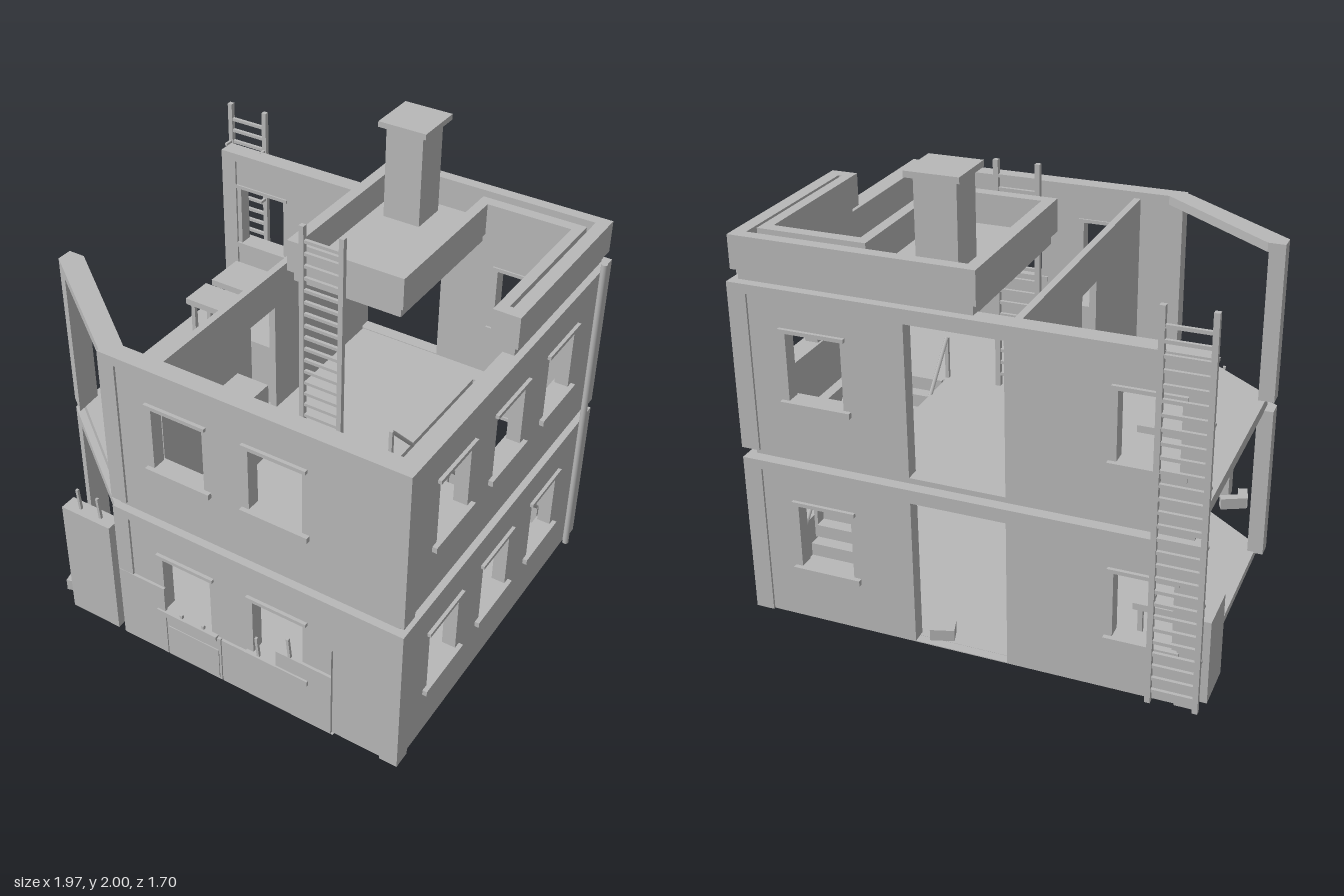
import * as THREE from 'three';

export function createModel() {
  const model = new THREE.Group();
  model.name = 'ruinedHouse';
  const concrete = new THREE.MeshStandardMaterial({ color: 0xb8b8b8 });
  concrete.name = 'concrete grey';

  const add = (name, geo, parent = model) => {
    const m = new THREE.Mesh(geo, concrete);
    m.name = name;
    parent.add(m);
    return m;
  };
  // Box given by its limits on each axis
  const box = (name, x0, x1, y0, y1, z0, z1, parent = model) => {
    const m = add(name, new THREE.BoxGeometry(x1 - x0, y1 - y0, z1 - z0), parent);
    m.position.set((x0 + x1) / 2, (y0 + y1) / 2, (z0 + z1) / 2);
    return m;
  };
  const rect = (x0, x1, y0, y1, Type = THREE.Path) => {
    const p = new Type();
    p.moveTo(x0, y0); p.lineTo(x1, y0); p.lineTo(x1, y1); p.lineTo(x0, y1); p.closePath();
    return p;
  };
  const extrude = (shape, depth) => new THREE.ExtrudeGeometry(shape, { depth, bevelEnabled: false });
  const poly = (pts) => new THREE.Shape(pts.map(([x, y]) => new THREE.Vector2(x, y)));
  // Plan outline (x, z) raised into a slab
  const slab = (name, pts, y0, y1, hole, parent = model) => {
    const s = poly(pts.map(([x, z]) => [x, -z]));
    if (hole) s.holes.push(rect(hole[0], hole[1], -hole[3], -hole[2]));
    const m = add(name, extrude(s, y1 - y0), parent);
    m.rotation.x = -Math.PI / 2;
    m.position.y = y0;
    return m;
  };

  const H = 0.715, SILL = 0.245, HEAD = 0.54;

  // Recessed wall with window and door holes, end posts, top beam, sills and lintels
  // It lies along local x, and local z = 0 is the outer face of the frame.
  function wall(name, u0, u1, windows, door) {
    const g = new THREE.Group();
    g.name = name;
    const s = rect(u0 + 0.02, u1 - 0.02, 0, H - 0.02, THREE.Shape);
    windows.forEach((c) => s.holes.push(rect(c - 0.118, c + 0.118, SILL, HEAD)));
    if (door) s.holes.push(rect(door[0], door[1], 0.004, H - 0.065));
    add('wallPanel', extrude(s, 0.06), g).position.z = -0.07;
    for (const [a, b] of [[u0, u0 + 0.075], [u1 - 0.075, u1]]) box('wallPost', a, b, 0, H - 0.04, -0.08, 0, g);
    box('wallBeam', u0, u1, H - 0.04, H, -0.08, 0, g);
    for (const c of windows) {
      box('windowSill', c - 0.15, c + 0.15, SILL - 0.025, SILL, -0.08, 0.01, g);
      box('windowLintel', c - 0.14, c + 0.14, HEAD - 0.003, HEAD + 0.013, -0.078, 0.005, g);
    }
    return g;
  }

  // Rails along y with evenly spaced rungs
  function ladder(name, x0, x1, y0, y1, z, step) {
    const g = new THREE.Group();
    g.name = name;
    for (const x of [x0, x1]) box('ladderRail', x - 0.011, x + 0.011, y0, y1, z - 0.011, z + 0.011, g);
    for (let y = y0 + step; y < y1 - 0.05; y += step) box('ladderRung', x0, x1, y - 0.007, y + 0.007, z - 0.007, z + 0.007, g);
    model.add(g);
    return g;
  }

  function table(x0, x1, y0, h, z0, z1) {
    const g = new THREE.Group();
    g.name = 'table';
    box('tableTop', x0, x1, y0 + h - 0.03, y0 + h, z0, z1, g);
    for (const x of [x0 + 0.02, x1 - 0.04]) for (const z of [z0 + 0.01, z1 - 0.03]) box('tableLeg', x, x + 0.02, y0, y0 + h - 0.03, z, z + 0.02, g);
    model.add(g);
  }

  // Floors, the upper one open above the stairs
  const outline = [[-0.905, -0.76], [0.92, -0.76], [0.92, 0.8], [-0.38, 0.8], [-0.905, 0.4]];
  slab('groundFloor', outline, 0, 0.035);
  slab('upperFloor', outline, 0.74, 0.79, [0.45, 0.84, -0.66, 0.04]);

  // Two storeys, open along the left-hand side in the front view
  for (const y of [0.03, 0.79]) {
    const g = new THREE.Group();
    g.name = 'storey';
    g.position.y = y;
    const front = wall('frontWall', -0.395, 0.955, [-0.048, 0.393]);
    front.position.z = 0.835;
    const back = wall('backWall', -0.955, 0.945, [-0.605, 0.73], [-0.22, 0.18]);
    back.children.length && back.position.set(0, 0, -0.81);
    back.rotation.y = Math.PI;
    // Shift the mirrored windows so they sit at x = 0.605 and x = -0.73
    const side = wall('sideWall', -0.835, 0.81, [-0.483, -0.043, 0.402]);
    side.position.x = 0.955;
    side.rotation.y = Math.PI / 2;
    g.add(front, back, side);
    // Broken corner: slanted beam on a lone post
    slab('slantedBeam', [[-0.945, 0.34], [-0.87, 0.34], [-0.33, 0.756], [-0.38, 0.834], [-0.945, 0.41]], H - 0.04, H, null, g);
    slab('cornerPost', [[-0.945, 0.34], [-0.875, 0.34], [-0.865, 0.47], [-0.945, 0.41]], 0, H - 0.04, null, g);
    model.add(g);
  }

  // Partitions: upper one has a doorway, only a stub is left below
  const part = rect(-0.755, 0.735, 0, 0.69, THREE.Shape);
  part.holes.push(rect(-0.16, 0.015, 0.003, 0.52));
  const partition = add('upperPartition', extrude(part, 0.03));
  partition.rotation.y = Math.PI / 2;
  partition.position.set(-0.2, 0.785, 0);
  box('lowerPartition', -0.2, -0.17, 0.03, 0.742, -0.2, 0.07);
  box('lowerCabinet', -0.3, -0.18, 0.03, 0.39, 0.14, 0.3);

  // Staircase with sawtooth profile rising to the front
  const N = 13, run = 0.74 / N, rise = 0.755 / N, pts = [[-0.66, 0.035]];
  for (let i = 0; i < N; i++) pts.push([-0.66 + i * run, 0.035 + (i + 1) * rise], [-0.66 + (i + 1) * run, 0.035 + (i + 1) * rise]);
  pts.push([0.08, 0.72], [-0.58, 0.035]);
  const stairs = add('stairs', extrude(poly(pts.map(([z, y]) => [-z, y])), 0.37));
  stairs.rotation.y = Math.PI / 2;
  stairs.position.x = 0.46;
  for (const x of [0.45, 0.84]) {
    const a = new THREE.Vector3(x, 0.25, -0.62), b = new THREE.Vector3(x, 0.98, 0.07);
    add('handrail', new THREE.TubeGeometry(new THREE.LineCurve3(a, b), 1, 0.009, 6));
    for (const z of [-0.61, -0.47, -0.2, 0.07]) {
      const top = 0.25 + (z + 0.62) * 1.058;
      box('handrailPost', x - 0.008, x + 0.008, top - 0.21, top, z - 0.008, z + 0.008);
    }
  }

  // Roof deck with a notch over the stairs
  const notch = (x0, x1, z0, z1, a, b, c) => [[x0, z0], [x1, z0], [x1, z1], [b, z1], [b, c], [a, c], [a, z1], [x0, z1]];
  slab('roofDeck', notch(-0.05, 0.925, -0.77, 0.02, 0.44, 0.85, -0.66), 1.5, 1.56);
  // Parapet around the deck and around the notch
  const parapet = [
    [-0.07, 0.945, -0.79, -0.74], [-0.07, -0.02, -0.74, 0.04], [0.89, 0.945, -0.74, 0.04],
    [-0.02, 0.46, -0.01, 0.04], [0.415, 0.46, -0.69, -0.01], [0.46, 0.83, -0.69, -0.64],
    [0.83, 0.875, -0.69, 0.04], [0.875, 0.89, -0.01, 0.04],
  ];
  for (const [x0, x1, z0, z1] of parapet) box('parapet', x0, x1, 1.55, 1.69, z0, z1);

  // Chimney
  box('chimney', 0.04, 0.21, 1.55, 1.975, -0.69, -0.525);
  box('chimneyCap', 0.015, 0.235, 1.975, 2, -0.72, -0.5);

  // Ladders and drainpipe
  ladder('roofLadder', 0.03, 0.212, 0.79, 1.81, 0.082, 0.056);
  const outer = ladder('wallLadder', -0.962, -0.775, 0.045, 1.69, -0.84, 0.056);
  for (let y = 0.25; y < 1.6; y += 0.25) for (const x of [-0.962, -0.775]) box('ladderBracket', x - 0.006, x + 0.006, y - 0.006, y + 0.006, -0.84, -0.79, outer);
  const pipe = add('drainpipe', new THREE.CylinderGeometry(0.014, 0.014, 1.5, 10));
  pipe.position.set(0.97, 0.8, -0.688);

  // Furniture
  table(-0.83, -0.6, 0.79, 0.19, -0.66, -0.46);
  table(-0.83, -0.57, 0.79, 0.195, -0.415, -0.26);
  table(-0.83, -0.6, 0.035, 0.195, -0.5, -0.3);
  box('upperCabinet', -0.17, -0.02, 0.79, 1.14, 0.26, 0.48);
  box('sideboard', -0.32, -0.2, 0.79, 1.08, -0.245, -0.03);
  box('outsideLocker', -0.985, -0.905, 0.03, 0.4, -0.755, -0.55);

  // Staggered slabs patching the lower front wall
  const patches = [[-0.39, -0.16, 0.4], [-0.155, 0.12, 0.265], [0.125, 0.39, 0.265], [0.39, 0.65, 0.355], [0.66, 0.945, 0.5]];
  for (const [x0, x1, top] of patches) {
    const cut = Math.min(x1, x0 < 0.39 ? x1 : 0.65);
    // Keep the upper part clear of the window openings
    box('wallPatch', x0, cut, 0.03, top, 0.824, 0.837);
  }
  box('patchPanel', -0.145, 0.11, 0.04, 0.2, 0.836, 0.841);
  box('tallSlab', -0.68, -0.43, 0.03, 0.6, 0.76, 0.835);

  // Bent reinforcement rods
  for (const [x, y, h, z] of [[-0.61, 0.6, 0.1, 0.8], [-0.505, 0.6, 0.1, 0.8], [-0.08, 0.26, 0.03, 0.83], [0.03, 0.26, 0.03, 0.83], [0.3, 0.26, 0.11, 0.83], [0.45, 0.35, 0.1, 0.83]]) {
    const rod = box('rod', x - 0.006, x + 0.006, y, y + h, z - 0.006, z + 0.006);
    rod.rotation.z = 0.1;
  }

  // Rubble
  const rubble = (x, z, w, d, h, turn) => {
    box('rubble', x - w / 2, x + w / 2, 0.035, 0.035 + h, z - d / 2, z + d / 2).rotation.y = turn;
  };
  rubble(-0.72, 0.685, 0.12, 0.04, 0.055, 0.45);
  rubble(-0.755, 0.735, 0.045, 0.085, 0.055, 0.25);
  rubble(-0.54, 0.72, 0.07, 0.05, 0.05, 0.1);
  rubble(0.13, -0.73, 0.1, 0.07, 0.05, 0.3);
  return model;
}
